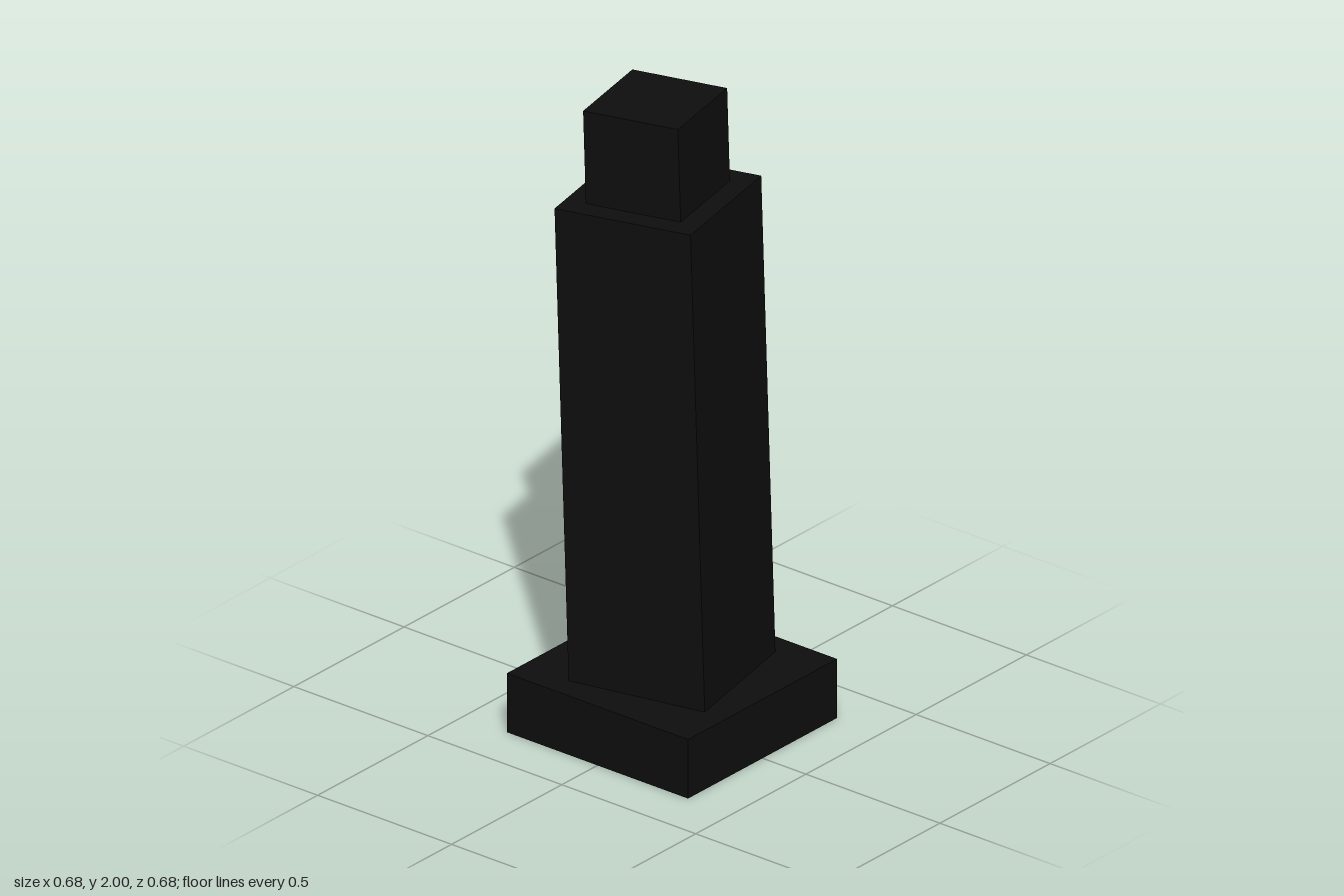
import * as THREE from 'three';

export function createModel() {
  const model = new THREE.Group();
  model.name = 'leaningTower';
  const black = new THREE.MeshStandardMaterial({ color: 0x0e0e0e });
  black.name = 'black';

  // Square block spanning bottom..top along its parent's y axis
  const block = (name, width, bottom, top, parent) => {
    const mesh = new THREE.Mesh(new THREE.BoxGeometry(width, top - bottom, width), black);
    mesh.name = name;
    mesh.position.y = (bottom + top) / 2;
    parent.add(mesh);
  };

  // Plinth standing square on the ground
  const baseTop = 0.19;
  block('base', 0.676, 0, baseTop, model);

  // Tower is turned on its own axis, then leans towards -x
  const tower = new THREE.Group();
  tower.name = 'tower';
  tower.position.y = baseTop;
  tower.rotation.set(0, THREE.MathUtils.degToRad(12), THREE.MathUtils.degToRad(2), 'ZYX');
  model.add(tower);

  block('shaft', 0.442, -0.02, 1.51, tower);
  block('cap', 0.308, 1.51, 1.805, tower);

  return model;
}
